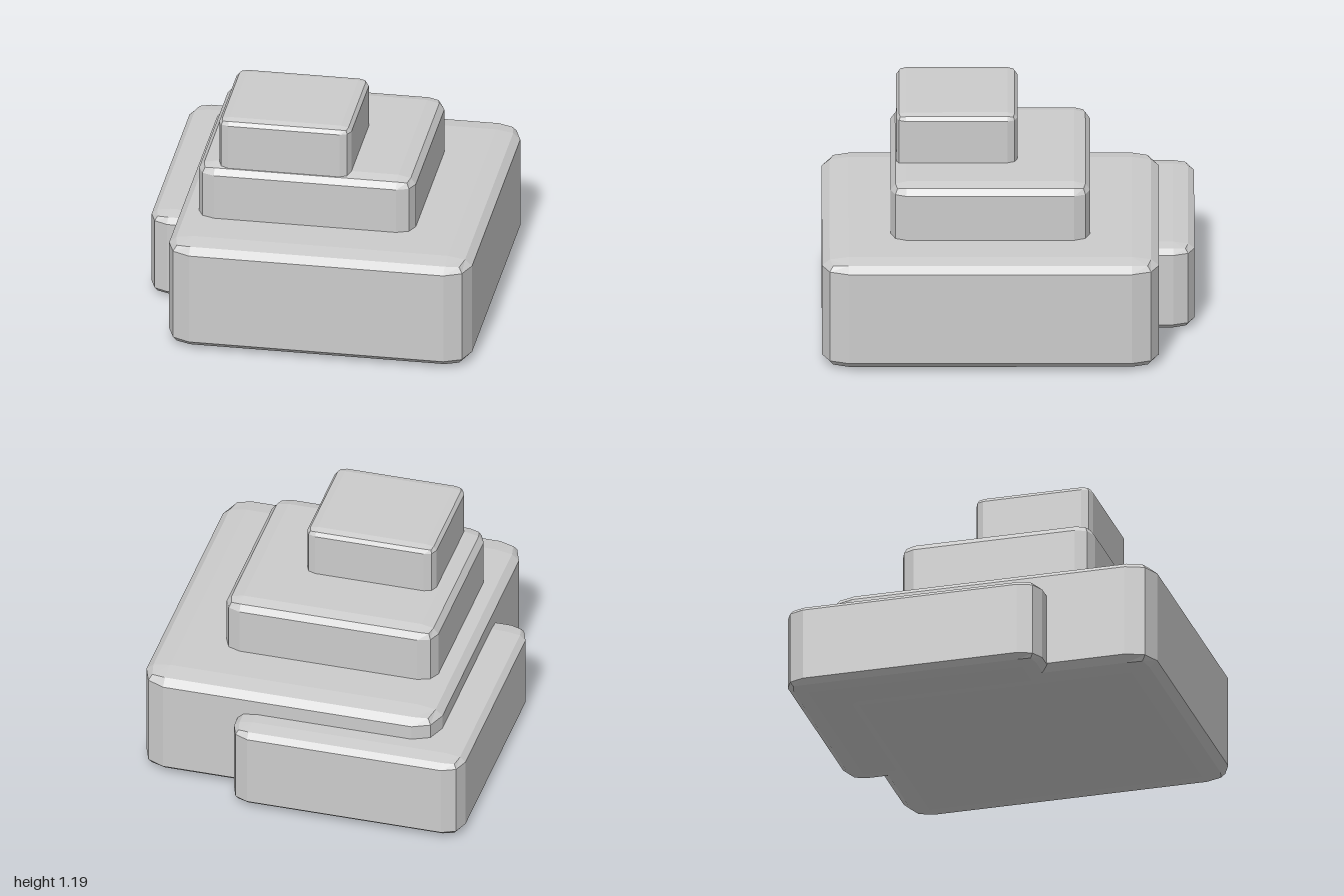
import * as THREE from 'three';

const BEVEL = 0.08; // bevel as a fraction of each side, so it stretches with the block

// Box with a two-step bevel: the outer grid lines round over, the inner ones bound the flats
function bevelledBox() {
  const geo = new THREE.BoxGeometry(2, 2, 2, 3, 3, 3);
  const pos = geo.attributes.position;
  const dir = new THREE.Vector3();
  const core = new THREE.Vector3();
  const outer = (v) => (Math.abs(v) > 0.9 ? Math.sign(v) : 0);
  for (let i = 0; i < pos.count; i++) {
    const [x, y, z] = [pos.getX(i), pos.getY(i), pos.getZ(i)];
    dir.set(outer(x), outer(y), outer(z)).setLength(BEVEL);
    core.set(Math.sign(x), Math.sign(y), Math.sign(z)).multiplyScalar(0.5 - BEVEL).add(dir);
    pos.setXYZ(i, core.x, core.y, core.z);
  }
  return geo;
}

export function createModel() {
  const group = new THREE.Group();
  const material = new THREE.MeshStandardMaterial({ color: 0xcccccc, flatShading: true });

  // Each block by its lower and upper corner
  const blocks = [
    ['baseBlock', [-0.73, 0, -0.81], [0.92, 0.615, 1]],
    ['rearBlock', [-0.92, 0.005, -1], [0.37, 0.485, 0.42]],
    ['middleBlock', [-0.62, 0.3, -0.44], [0.56, 0.92, 0.63]],
    ['topBlock', [-0.51, 0.81, -0.05], [0.21, 1.19, 0.6]],
  ];
  for (const [name, min, max] of blocks) {
    const box = new THREE.Box3(new THREE.Vector3(...min), new THREE.Vector3(...max));
    const size = box.getSize(new THREE.Vector3());
    const center = box.getCenter(new THREE.Vector3());
    const geo = bevelledBox().scale(size.x, size.y, size.z);
    geo.computeVertexNormals();
    const mesh = new THREE.Mesh(geo, material);
    mesh.name = name;
    mesh.position.copy(center);
    group.add(mesh);
  }
  return group;
}
